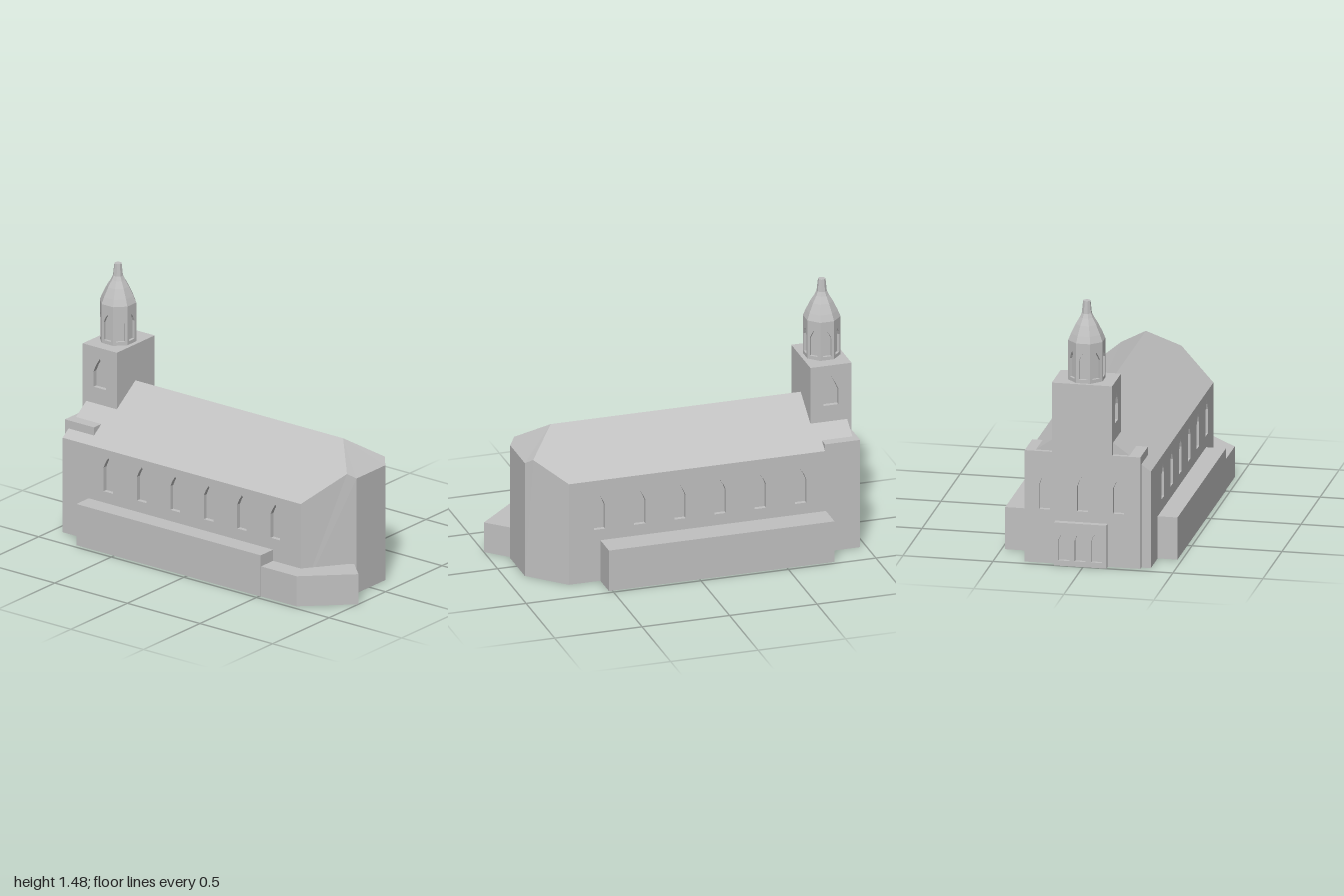
import * as THREE from 'three';

const stone = new THREE.MeshStandardMaterial({ color: 0xc0c0c0 });
stone.name = 'stone grey';

function mesh(name, geometry, parent) {
  const m = new THREE.Mesh(geometry, stone);
  m.name = name;
  parent.add(m);
  return m;
}

// Box given by its min and max corners
function block(name, parent, [x0, y0, z0], [x1, y1, z1]) {
  const m = mesh(name, new THREE.BoxGeometry(x1 - x0, y1 - y0, z1 - z0), parent);
  m.position.set((x0 + x1) / 2, (y0 + y1) / 2, (z0 + z1) / 2);
  return m;
}

// Pointed window outline
function lancet(cx, y0, y1, w) {
  const h = w / 2, s = y1 - w * 0.95, p = new THREE.Path();
  p.moveTo(cx - h, y0);
  p.lineTo(cx - h, s);
  p.lineTo(cx - h * 0.6, s + (y1 - s) * 0.5);
  p.lineTo(cx, y1);
  p.lineTo(cx + h * 0.6, s + (y1 - s) * 0.5);
  p.lineTo(cx + h, s);
  p.lineTo(cx + h, y0);
  p.closePath();
  return p;
}

// Wall facing +z with its outer face at z = 0, recessed windows and a back plate
function windowWall(name, parent, w, h, depth, windows) {
  const g = new THREE.Group();
  g.name = name;
  const s = new THREE.Shape();
  s.moveTo(-w / 2, 0);
  s.lineTo(w / 2, 0);
  s.lineTo(w / 2, h);
  s.lineTo(-w / 2, h);
  s.closePath();
  s.holes = windows.map((a) => lancet(...a));
  const geo = new THREE.ExtrudeGeometry(s, { depth, bevelEnabled: false });
  geo.translate(0, 0, -depth);
  mesh('wallFace', geo, g);
  block('windowBacks', g, [-w / 2 + 0.005, 0.005, -depth - 0.008], [w / 2 - 0.005, h - 0.005, -depth]);
  parent.add(g);
  return g;
}

// Flat-faced solid from convex polygons
function polygons(faces) {
  const pos = [];
  for (const f of faces)
    for (let i = 1; i < f.length - 1; i++) pos.push(...f[0], ...f[i], ...f[i + 1]);
  const g = new THREE.BufferGeometry();
  g.setAttribute('position', new THREE.Float32BufferAttribute(pos, 3));
  g.computeVertexNormals();
  return g;
}

export function createModel() {
  const church = new THREE.Group();
  church.name = 'church';

  // Nave: roof, hipped apse, west gable and floor
  const A = [-0.94, 0.55, 0.365], B = [0.7, 0.55, 0.365], C = [0.855, 0.698, 0.155];
  const D = [0.89, 0.668, 0.115], E = [0.89, 0.668, -0.14], F = [0.855, 0.698, -0.18];
  const G = [0.7, 0.595, -0.33], H = [-0.94, 0.595, -0.33];
  const R1 = [-0.94, 0.82, -0.01], R2 = [0.7, 0.82, -0.01];
  const base = ([x, , z]) => [x, 0, z];
  mesh('naveRoof', polygons([[A, B, C, R2, R1], [R2, C, D, E, F], [R1, R2, F, G, H]]), church);
  mesh('apseWalls', polygons([
    [base(B), base(D), D, C, B], [base(D), base(E), E, D], [base(E), base(G), G, F, E]]), church);
  mesh('westGable', polygons([[base(H), base(A), A, R1, H]]), church);
  mesh('floor', polygons([[A, H, G, E, D, B].map(base)]), church);

  // Long side walls, six windows each
  const row = (sign) => [-0.505, -0.275, -0.045, 0.185, 0.415, 0.645].map((x) => [sign * x, 0.305, 0.505, 0.065]);
  windowWall('southWall', church, 1.64, 0.55, 0.025, row(1)).position.set(-0.12, 0, 0.365);
  const north = windowWall('northWall', church, 1.64, 0.595, 0.025, row(-1));
  north.position.set(-0.12, 0, -0.33);
  north.rotation.y = Math.PI;

  // West front with three windows
  block('westFrontBody', church, [-0.93, 0, -0.331], [-0.765, 0.635, 0.312]);
  const west = windowWall('westFront', church, 0.643, 0.635, 0.035,
    [-0.21, 0, 0.2].map((z) => [z, 0.305, 0.505, 0.06]));
  west.position.set(-0.965, 0, -0.0095);
  west.rotation.y = -Math.PI / 2;

  // Entrance porch with three arches
  block('porchBody', church, [-0.98, 0, -0.16], [-0.964, 0.245, 0.13]);
  const porch = windowWall('porchArches', church, 0.29, 0.245, 0.02,
    [-0.09, 0, 0.09].map((z) => [z, 0.03, 0.205, 0.062]));
  porch.position.set(-1, 0, -0.015);
  porch.rotation.y = -Math.PI / 2;

  // Square tower with a window to north and south
  block('towerBody', church, [-0.965, 0.63, -0.155], [-0.73, 1.03, 0.13]);
  for (const [name, z, turn] of [['towerSouth', 0.155, 0], ['towerNorth', -0.18, Math.PI]]) {
    const w = windowWall(name, church, 0.235, 0.4, 0.025, [[0, 0.165, 0.335, 0.085]]);
    w.position.set(-0.8475, 0.63, z);
    w.rotation.y = turn;
  }

  // Eight-sided lantern and dome
  const lantern = new THREE.Group();
  lantern.name = 'lantern';
  lantern.position.set(-0.85, 1.03, -0.01);
  church.add(lantern);
  const apothem = 0.095, side = 2 * apothem * Math.tan(Math.PI / 8);
  for (let i = 0; i < 8; i++) {
    const a = (i * Math.PI) / 4;
    const w = windowWall('lanternSide', lantern, side, 0.225, 0.015, [[0, 0.02, 0.17, 0.048]]);
    w.position.set(Math.sin(a) * apothem, 0, Math.cos(a) * apothem);
    w.rotation.y = a;
  }
  const k = 1 / Math.cos(Math.PI / 8);
  const profile = [[0, 0.22], [0.095, 0.222], [0.095, 0.225], [0.081, 0.262], [0.057, 0.315], [0.036, 0.352],
    [0.026, 0.375], [0.019, 0.445], [0, 0.445]].map(([r, y]) => new THREE.Vector2(r * k, y));
  const dome = new THREE.LatheGeometry(profile, 8, Math.PI / 8).toNonIndexed();
  dome.computeVertexNormals();
  mesh('dome', dome, lantern);

  // Low side aisles
  block('southAisle', church, [-0.76, 0, 0.33], [0.51, 0.24, 0.475]);
  block('northAisle', church, [-0.77, 0, -0.48], [0.52, 0.24, -0.3]);

  // Low sacristy beside the apse
  const plan = [[0.5, 0.472], [0.755, 0.472], [1, 0.24], [0.885, 0.13], [0.68, 0.34], [0.5, 0.34]];
  const shape = new THREE.Shape(plan.map(([x, z]) => new THREE.Vector2(x, -z)));
  const sacristy = new THREE.ExtrudeGeometry(shape, { depth: 0.175, bevelEnabled: false });
  sacristy.rotateX(-Math.PI / 2);
  mesh('sacristy', sacristy, church);

  return church;
}
